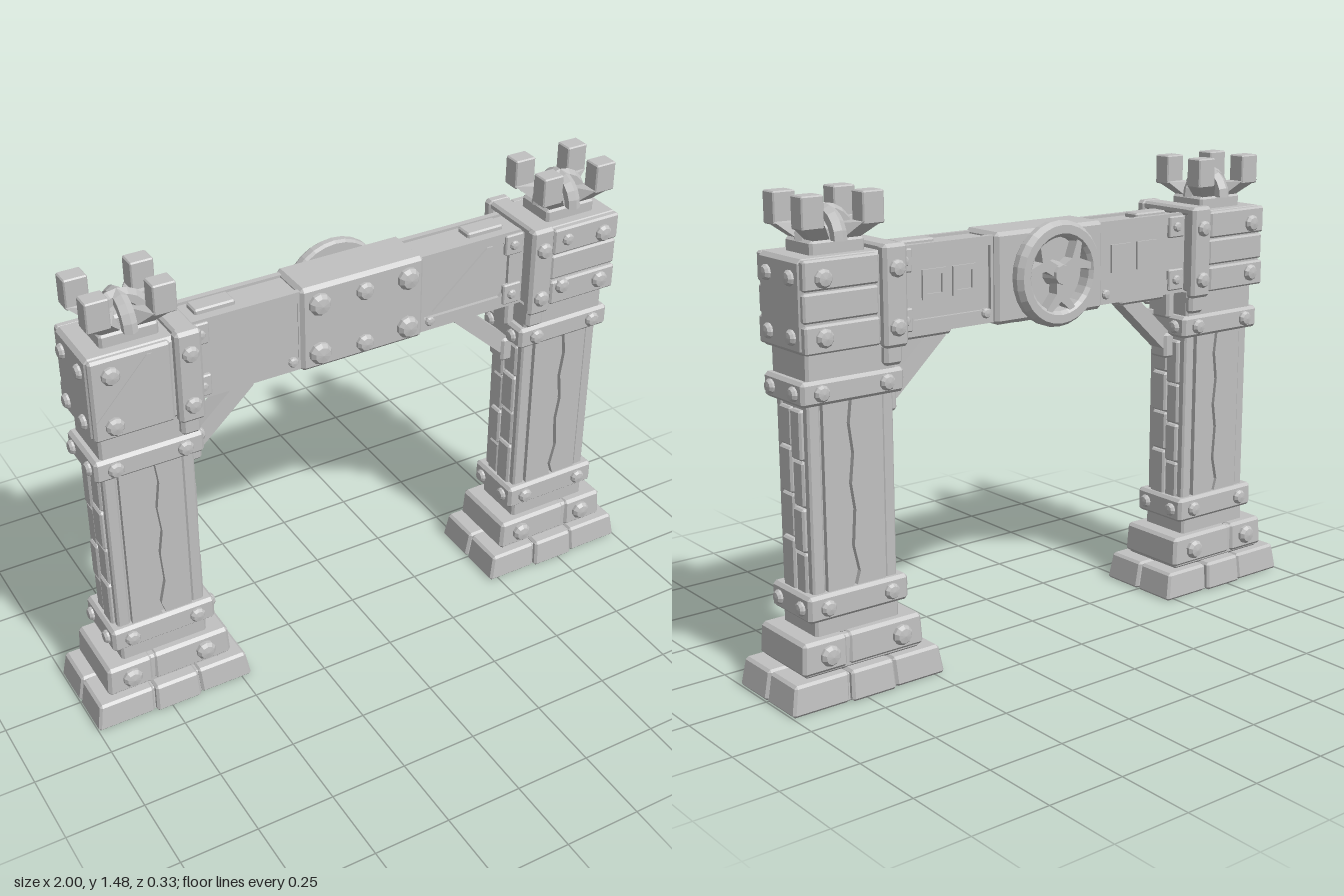
import * as THREE from 'three';
import { ConvexGeometry } from 'three/addons/geometries/ConvexGeometry.js';

const stone = new THREE.MeshStandardMaterial({ color: 0xc0c0c0 });
stone.name = 'light grey stone';

const flat = (g) => {
  const n = g.index ? g.toNonIndexed() : g;
  n.computeVertexNormals();
  return n;
};

function add(parent, name, geo) {
  const m = new THREE.Mesh(geo, stone);
  m.name = name;
  parent.add(m);
  return m;
}

// Chamfered block between two corners; s = -1 mirrors it in x, taper narrows it towards the top
function block(parent, name, s, [x0, x1], [y0, y1], [z0, z1], c = 0.008, taper = 0) {
  const pts = [];
  const lo = [x0, y0, z0], hi = [x1, y1, z1];
  for (let k = 0; k < 8; k++) {
    for (let full = 0; full < 3; full++) {
      const p = [0, 1, 2].map((a) => {
        const inset = a === full ? 0 : c;
        return (k >> a) & 1 ? hi[a] - inset : lo[a] + inset;
      });
      const f = 1 - taper * (p[1] - y0) / (y1 - y0);
      pts.push(new THREE.Vector3(s * p[0] * f, p[1], p[2] * f));
    }
  }
  return add(parent, name, new ConvexGeometry(pts));
}

// Domed bolt pointing along +-x or +-z
function bolt(parent, x, y, z, axis, sign, r = 0.026) {
  const profile = [[r, -0.005], [r, 0.3 * r], [0.72 * r, 0.65 * r], [0, 0.75 * r]];
  const g = flat(new THREE.LatheGeometry(profile.map(([a, b]) => new THREE.Vector2(a, b)), 10));
  if (axis === 'z') g.rotateX(sign * Math.PI / 2);
  else g.rotateZ(-sign * Math.PI / 2);
  add(parent, 'bolt', g).position.set(x, y, z);
}

function extrude(parent, name, points, z0, z1, hole) {
  const shape = new THREE.Shape(points.map(([x, y]) => new THREE.Vector2(x, y)));
  if (hole) shape.holes.push(new THREE.Path(hole.map(([x, y]) => new THREE.Vector2(x, y))));
  const g = new THREE.ExtrudeGeometry(shape, { depth: z1 - z0, bevelEnabled: false, curveSegments: 8 });
  g.translate(0, 0, z0);
  return add(parent, name, g);
}

const rect = (x0, x1, y0, y1) => [[x0, y0], [x1, y0], [x1, y1], [x0, y1]];

function crown(s) {
  const g = new THREE.Group();
  g.name = 'crown';
  block(g, 'crownPedestal', 1, [-0.09, 0.09], [1.3, 1.35], [-0.07, 0.07]);
  block(g, 'crownCore', 1, [-0.06, 0.06], [1.34, 1.385], [-0.045, 0.045]);
  for (const i of [-1, 1]) for (const k of [-1, 1]) {
    // Sloping arm ending in an upright square tip
    const pts = [];
    for (const [x, y, z] of [[0.02, 1.335, 0.015], [0.02, 1.385, 0.015], [0.075, 1.345, 0.02], [0.02, 1.345, 0.06],
      [0.075, 1.345, 0.06], [0.063, 1.395, 0.045], [0.135, 1.395, 0.045], [0.135, 1.395, 0.105], [0.063, 1.395, 0.105]]) {
      pts.push(new THREE.Vector3(i * x, y, k * z));
    }
    add(g, 'crownArm', new ConvexGeometry(pts));
    const [z0, z1] = k > 0 ? [0.045, 0.105] : [-0.105, -0.045];
    block(g, 'crownTip', i, [0.063, 0.135], [1.385, 1.48], [z0, z1], 0.004);
  }
  for (const turn of [0, Math.PI / 2]) {
    const hoop = add(g, 'crownHoop', flat(new THREE.TorusGeometry(0.075, 0.024, 6, 10, Math.PI)));
    hoop.position.y = 1.345;
    hoop.rotation.y = turn;
  }
  g.position.x = s * 0.018;
  return g;
}

// Pillar in local coordinates, outward side at +x * s
function pillar(s) {
  const g = new THREE.Group();
  g.name = s > 0 ? 'leftPillar' : 'rightPillar';

  // Stepped foot of separate stones
  block(g, 'footCore', s, [-0.25, 0.25], [0, 0.085], [-0.147, 0.147], 0.004, 0.06);
  block(g, 'footMiddleStone', s, [-0.085, 0.07], [0, 0.094], [-0.165, 0.165], 0.008, 0.06);
  for (const [z0, z1] of [[-0.156, -0.003], [0.003, 0.156]]) {
    block(g, 'footOuterStone', s, [0.075, 0.267], [0, 0.092], [z0, z1], 0.008, 0.06);
    block(g, 'footInnerStone', s, [-0.267, -0.09], [0, 0.092], [z0, z1], 0.008, 0.06);
  }
  block(g, 'stepCore', s, [-0.2, 0.2], [0.09, 0.196], [-0.118, 0.118]);
  block(g, 'stepOuterStone', s, [0.06, 0.212], [0.1, 0.2], [-0.128, 0.128], 0.01, 0.03);
  block(g, 'stepInnerStone', s, [-0.212, 0.054], [0.1, 0.2], [-0.126, 0.126], 0.01, 0.03);
  block(g, 'lowerNeck', s, [-0.145, 0.145], [0.19, 0.26], [-0.093, 0.093]);

  // Shaft: core, corner posts, cracked panels and stacked side bricks
  block(g, 'shaftCore', s, [-0.14, 0.14], [0.25, 0.96], [-0.078, 0.078]);
  const crack = [[0.006, 0.33], [-0.006, 0.37], [0.012, 0.45], [0.004, 0.56], [0.016, 0.64], [0.006, 0.73], [0.018, 0.82], [0.008, 0.9]];
  for (const k of [-1, 1]) {
    const [z0, z1] = k > 0 ? [0.075, 0.094] : [-0.094, -0.075];
    extrude(g, 'shaftPanel', [[-0.1, 0.33], ...crack.map(([x, y]) => [x - 0.006, y]), [-0.1, 0.9]], z0, z1);
    extrude(g, 'shaftPanel', [[0.1, 0.33], ...crack.map(([x, y]) => [x + 0.006, y]), [0.1, 0.9]], z0, z1);
    for (const i of [-1, 1]) {
      block(g, 'cornerPost', i, [0.104, 0.145], [0.32, 0.9], k > 0 ? [0.055, 0.086] : [-0.086, -0.055], 0.006);
    }
  }
  const joints = [0.32, 0.48, 0.615, 0.755, 0.875];
  for (const i of [-1, 1]) {
    for (let j = 0; j < 4; j++) {
      block(g, 'sideBrick', i, [0.13, 0.157 - 0.004 * (j % 2)], [joints[j] + 0.002, joints[j + 1] - 0.002], [-0.003, 0.062], 0.006);
      block(g, 'sideBrick', i, [0.13, 0.153 + 0.004 * (j % 2)], [joints[j] - 0.03 * (j > 0), joints[j + 1] - (j < 3 ? 0.034 : 0.002)], [-0.06, -0.006], 0.006);
    }
  }

  // Two bolted collars
  for (const [y0, y1] of [[0.247, 0.328], [0.89, 0.963]]) {
    const y = (y0 + y1) / 2;
    block(g, 'collar', s, [-0.173, 0.173], [y0, y1], [-0.106, 0.106], 0.01);
    for (const k of [-1, 1]) {
      for (const x of [-0.11, 0.11]) bolt(g, x, y, k * 0.106, 'z', k, 0.025);
      for (const z of [-0.062, 0.062]) bolt(g, k * 0.173, y, z, 'x', k, 0.022);
    }
  }
  for (const k of [-1, 1]) for (const x of [-0.13, 0.122]) bolt(g, x, 0.15, k * 0.125, 'z', k, 0.032);

  // Capital: plain plate or planks in front, planks behind
  block(g, 'upperNeck', s, [-0.15, 0.15], [0.95, 1.05], [-0.096, 0.096]);
  block(g, 'capital', s, [-0.15, 0.172], [1.04, 1.31], [-0.113, 0.113], 0.012);
  const rows = [[1.043, 1.125], [1.131, 1.215], [1.221, 1.308]];
  rows.forEach((row, j) => {
    block(g, 'backPlank', s, [-0.08, 0.168], row, [-0.128 + 0.005 * (j % 2), -0.1], 0.006);
    if (s > 0) block(g, 'frontPlank', s, [-0.08, 0.168], row, [0.1, 0.127 - 0.005 * (j % 2)], 0.006);
  });
  if (s < 0) {
    block(g, 'frontPlate', s, [-0.08, 0.168], [1.043, 1.308], [0.1, 0.125]);
    extrude(g, 'frontPlateBrace', [[-0.16, 1.11], [-0.15, 1.11], [0.02, 1.29], [0.005, 1.29]], 0.12, 0.128);
  }
  for (const y of [1.088, 1.255]) {
    for (const k of [-1, 1]) bolt(g, s * 0.107, y, k * 0.126, 'z', k, 0.028);
    bolt(g, s * 0.172, y, 0.062, 'x', s, 0.023);
    bolt(g, s * 0.172, y, -0.062, 'x', s, 0.023);
  }
  if (s > 0) {
    bolt(g, -0.04, 1.105, 0.126, 'z', 1, 0.025);
    bolt(g, -0.03, 1.268, 0.126, 'z', 1, 0.02);
  }

  // Strap wrapped around the inner edge of the capital
  for (const k of [-1, 1]) {
    const span = k > 0 ? [0.1, 0.14] : [-0.14, -0.1];
    block(g, 'strap', s, [-0.17, -0.088], [1.03, 1.33], span, 0.01);
    block(g, 'strapEnd', s, [-0.16, -0.098], [0.975, 1.04], k > 0 ? [0.09, 0.122] : [-0.122, -0.09], 0.01);
    for (const y of [1.09, 1.26]) bolt(g, -s * 0.129, y, k * 0.14, 'z', k, 0.026);
  }
  block(g, 'strapTop', s, [-0.165, -0.095], [1.3, 1.328], [-0.115, 0.115]);
  g.add(crown(s));

  // Diagonal brace under the beam
  extrude(g, 'brace', [[-0.16, 0.85], [-0.195, 0.85], [-0.375, 1.015], [-0.375, 1.045], [-0.325, 1.045], [-0.16, 0.895]].map(([x, y]) => [s * x, y]), -0.03, 0.03);
  block(g, 'braceWallPlate', s, [-0.192, -0.15], [0.815, 0.9], [-0.038, 0.038]);
  block(g, 'braceBeamPlate', s, [-0.395, -0.2], [1.02, 1.047], [-0.038, 0.038]);
  block(g, 'braceInnerPost', s, [-0.185, -0.15], [0.95, 1.05], [-0.038, 0.038]);

  g.position.x = s * 0.733;
  return g;
}

function beam() {
  const g = new THREE.Group();
  g.name = 'crossbeam';
  block(g, 'beamCore', 1, [-0.62, 0.62], [1.048, 1.3], [-0.062, 0.05]);
  for (const s of [-1, 1]) {
    // Raised frames with recessed panels
    for (const [z0, z1] of [[0.045, 0.062], [-0.074, -0.055]]) {
      extrude(g, 'beamFrame', rect(0.2, 0.6, 1.043, 1.308).map(([x, y]) => [s * x, y]), z0, z1,
        [[0.22, 1.085], [0.5, 1.085], [0.53, 1.115], [0.53, 1.25], [0.5, 1.28], [0.22, 1.28]].map(([x, y]) => [s * x, y]));
    }
    for (const x of [0.27, 0.38]) {
      extrude(g, 'backInlay', rect(s * x, s * (x + 0.085), 1.14, 1.23), -0.069, -0.06,
        rect(s * (x + 0.015), s * (x + 0.07), 1.157, 1.213));
    }
    block(g, 'topPlate', s, [0.4, 0.53], [1.295, 1.316], [-0.04, 0.02], 0.005);
    for (const k of [-1, 1]) {
      const z = k > 0 ? 0.062 : -0.074;
      for (const y of [1.09, 1.265]) {
        block(g, 'cornerBracket', s, [0.51, 0.575], [y - 0.035, y + 0.035], [z - 0.009, z + 0.009], 0.004);
        bolt(g, s * 0.54, y, z + k * 0.009, 'z', k, 0.016);
      }
      bolt(g, s * 0.24, 1.075, z, 'z', k, 0.016);
    }
  }
  extrude(g, 'panelGroove', [[0.255, 1.1], [0.27, 1.1], [0.47, 1.27], [0.45, 1.27]], 0.048, 0.056);

  // Bolted sleeve at the middle
  block(g, 'sleeve', 1, [-0.215, 0.21], [1.034, 1.316], [-0.09, 0.073], 0.012);
  block(g, 'sleeveUnderplate', 1, [-0.1, 0.1], [1.024, 1.045], [-0.05, 0.04], 0.006);
  for (const x of [-0.155, 0, 0.15]) for (const y of [1.09, 1.258]) bolt(g, x, y - (x === 0 && y < 1.2 ? 0.012 : 0), 0.073, 'z', 1, x ? 0.036 : 0.029);
  return g;
}

// Wheel ornament on the back of the beam
function wheel() {
  const g = new THREE.Group();
  g.name = 'wheelOrnament';
  const ring = [[0.112, 0], [0.158, 0], [0.165, 0.01], [0.165, 0.03], [0.152, 0.048], [0.126, 0.048], [0.115, 0.036], [0.112, 0]];
  add(g, 'wheelRim', flat(new THREE.LatheGeometry(ring.map(([x, y]) => new THREE.Vector2(x, y)), 28).rotateX(Math.PI / 2)));
  for (let i = 0; i < 3; i++) {
    const spoke = extrude(g, 'wheelSpoke', [[-0.018, 0], [0.018, 0], [0.018, 0.06], [0.055, 0.105], [0.04, 0.118], [0, 0.085], [-0.04, 0.118], [-0.055, 0.105], [-0.018, 0.06]], 0.005, 0.042);
    spoke.rotation.z = Math.PI + i * Math.PI * 2 / 3;
  }
  add(g, 'wheelHub', flat(new THREE.CylinderGeometry(0.03, 0.04, 0.055, 10).rotateX(Math.PI / 2))).position.z = 0.024;
  g.rotation.y = Math.PI;
  g.position.set(0, 1.176, -0.1);
  return g;
}

export function createModel() {
  const model = new THREE.Group();
  model.name = 'stoneGate';
  model.add(pillar(-1), pillar(1), beam(), wheel());
  return model;
}
